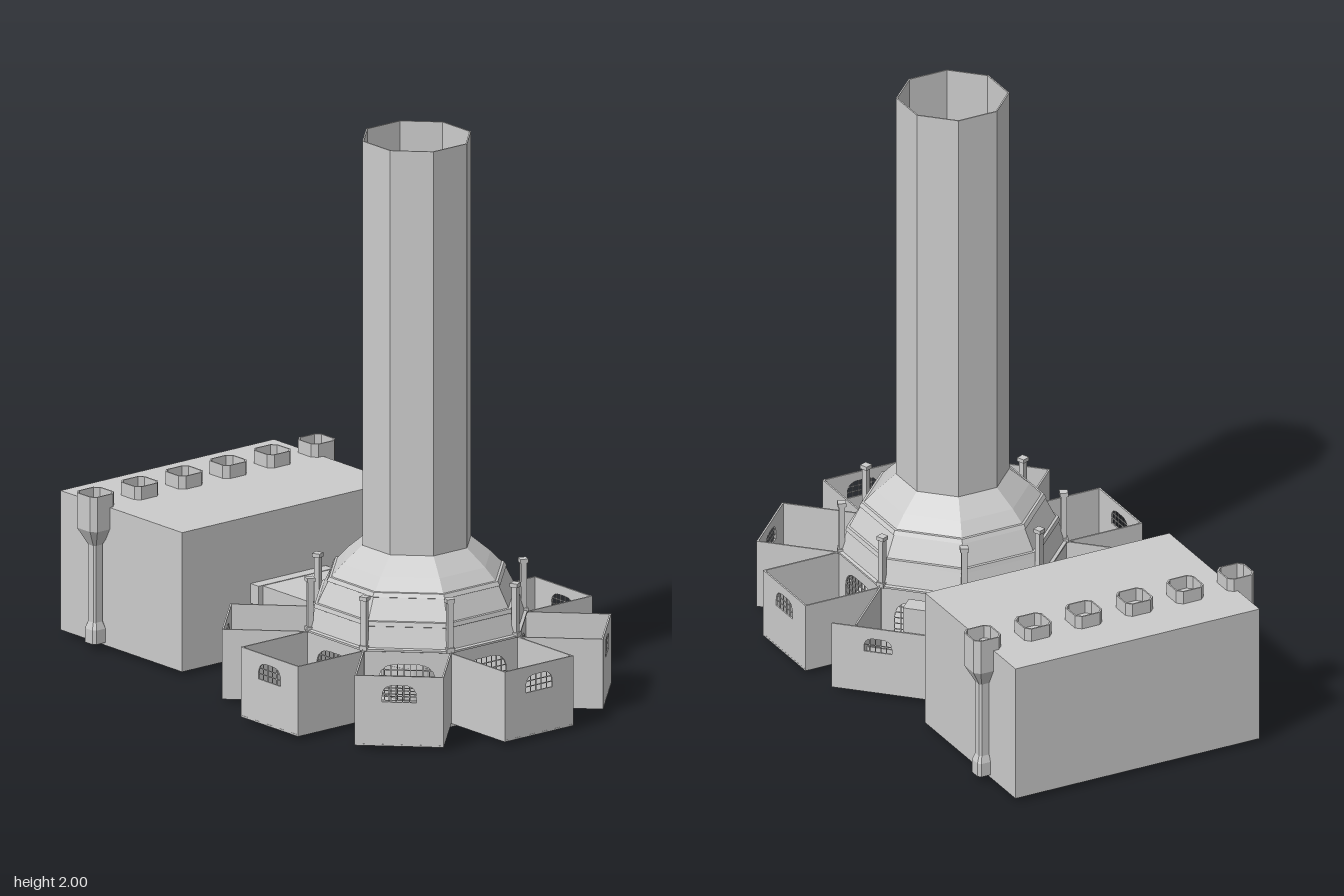
import * as THREE from 'three';

const mat = new THREE.MeshStandardMaterial({ color: 0xcccccc, flatShading: true, side: THREE.DoubleSide });
const T = 0.006; // wall thickness
const CX = 0.34; // tower axis

function add(parent, name, geo, x = 0, y = 0, z = 0, ry = 0) {
  const m = new THREE.Mesh(geo, mat);
  m.name = name;
  m.position.set(x, y, z);
  m.rotation.y = ry;
  parent.add(m);
  return m;
}
const box = (w, h, d) => new THREE.BoxGeometry(w, h, d);

// Octagonal lathe; radii are measured to the middle of the flats
function octagon(points) {
  const k = 1 / Math.cos(Math.PI / 8);
  return new THREE.LatheGeometry(points.map(([r, y]) => new THREE.Vector2(r * k, y)), 8, Math.PI / 8);
}

// Arched opening: flat sill, rounded shoulders
function arch(x, y, w, h) {
  const p = new THREE.Path(), r = Math.min(w / 2, h) * 0.7;
  p.moveTo(x - w / 2, y);
  p.lineTo(x - w / 2, y + h - r);
  p.quadraticCurveTo(x - w / 2, y + h, x - w / 2 + r, y + h);
  p.lineTo(x + w / 2 - r, y + h);
  p.quadraticCurveTo(x + w / 2, y + h, x + w / 2, y + h - r);
  p.lineTo(x + w / 2, y);
  p.closePath();
  return p;
}

// Wall in the xy plane with barred openings [x, y, w, h]
function wall(parent, name, x0, x1, y0, y1, z, openings) {
  const s = new THREE.Shape();
  s.moveTo(x0, y0);
  s.lineTo(x1, y0);
  s.lineTo(x1, y1);
  s.lineTo(x0, y1);
  s.closePath();
  for (const [x, y, w, h] of openings) {
    s.holes.push(arch(x, y, w, h));
    const cols = Math.round(w / 0.022), rows = Math.round(h / 0.022);
    for (let i = 1; i < cols; i++) {
      add(parent, 'windowBar', box(0.003, h, 0.003), x - w / 2 + (w * i) / cols, y + h / 2, z);
    }
    for (let j = 1; j < rows; j++) {
      add(parent, 'windowBar', box(w, 0.003, 0.003), x, y + (h * j) / rows, z);
    }
  }
  const g = new THREE.ExtrudeGeometry(s, { depth: T, bevelEnabled: false, curveSegments: 5 });
  add(parent, name, g, 0, 0, z - T / 2);
}

// Roofless side room, local +z points outward from the tower
function room(kind) {
  const g = new THREE.Group();
  g.name = 'room';
  add(g, 'roomFloor', box(0.305, T, 0.295), 0, 0.018, 0.508);
  for (const s of [-1, 1]) add(g, 'roomSideWall', box(T, 0.25, 0.295), s * 0.15, 0.14, 0.508);
  if (kind === 'shed') {
    wall(g, 'screenWall', -0.235, 0.275, 0.015, 0.26, 0.658, [[-0.07, 0.17, 0.1, 0.05], [0.16, 0.17, 0.1, 0.05]]);
    add(g, 'crate', box(0.127, 0.33, 0.07), 0.08, 0.185, 0.615);
    add(g, 'partition', box(0.3, 0.1, T), 0, 0.07, 0.53);
    add(g, 'pipe', new THREE.CylinderGeometry(0.022, 0.022, 0.1, 10), 0.06, 0.065, 0.47);
  } else {
    wall(g, 'roomOuterWall', -0.152, 0.152, 0.015, 0.265, 0.652, [[0, 0.172, 0.118, 0.06]]);
  }
  return g;
}

// Square hopper with chamfered corners on a slim leg
function hopper() {
  const profile = [[0, 0.025], [0.03, 0.025], [0.03, 0.075], [0.021, 0.1], [0.021, 0.375], [0.053, 0.435],
    [0.053, 0.56], [0.048, 0.56], [0.048, 0.44], [0, 0.4]];
  const g = new THREE.LatheGeometry(profile.map(([r, y]) => new THREE.Vector2(r, y)), 8, Math.PI / 8);
  const p = g.attributes.position;
  for (let i = 0; i < p.count; i++) {
    const x = p.getX(i), z = p.getZ(i), r = Math.hypot(x, z);
    const square = (v) => Math.sign(v) * r * (Math.abs(v) > r * 0.6 ? 1 : 0.66);
    p.setXYZ(i, square(x), p.getY(i), square(z));
  }
  g.computeVertexNormals();
  return g;
}

export function createModel() {
  const model = new THREE.Group();
  model.name = 'towerComplex';

  // Octagonal centre: floor, dome and open chimney
  const core = new THREE.Group();
  core.name = 'centralTower';
  core.position.x = CX;
  model.add(core);
  add(core, 'floorSlab', octagon([[0, 0], [0.362, 0], [0.362, 0.018], [0, 0.018]]));
  add(core, 'dome', octagon([[0.36, 0.262], [0.368, 0.265], [0.368, 0.272], [0.357, 0.275], [0.337, 0.345],
    [0.341, 0.347], [0.337, 0.362], [0.328, 0.363], [0.294, 0.436], [0.298, 0.438], [0.29, 0.452],
    [0.282, 0.453], [0.245, 0.495], [0.18, 0.555]]));
  add(core, 'chimney', octagon([[0.18, 0.555], [0.18, 2], [0.175, 2], [0.175, 0.555]]));
  add(core, 'vessel', new THREE.CylinderGeometry(0.12, 0.12, 0.12, 16), 0, 0.07, 0);
  add(core, 'vesselCap', new THREE.SphereGeometry(0.12, 12, 6, 0, Math.PI * 2, 0, Math.PI / 2), 0, 0.13, 0);

  for (let i = 0; i < 8; i++) {
    const a = (i * Math.PI) / 4;
    const side = new THREE.Group();
    side.name = 'towerSide';
    side.rotation.y = a;
    core.add(side);
    wall(side, 'towerWall', -0.149, 0.149, 0.01, 0.265, 0.36, [[0, 0.09, 0.2, 0.13]]);
    if (i !== 6) side.add(room(i === 5 ? 'shed' : 'plain'));

    // Corner post with cap and foot, beside the dome
    const c = a + Math.PI / 8, px = Math.sin(c) * 0.382, pz = Math.cos(c) * 0.382;
    add(core, 'cornerPost', box(0.02, 0.185, 0.02), px, 0.36, pz, c);
    add(core, 'postCap', box(0.029, 0.014, 0.029), px, 0.45, pz, c);
    add(core, 'postFoot', box(0.03, 0.016, 0.03), px, 0.274, pz, c);
  }

  // Roofed passage from the tower to the hall
  add(model, 'passage', box(0.31, 0.255, 0.3), -0.165, 0.1425, -0.005);
  for (const s of [-1, 1]) {
    add(model, 'doorFramePost', box(0.012, 0.24, 0.02), -0.314, 0.15, s * 0.157 - 0.003);
    add(model, 'doorFramePanel', box(0.03, 0.17, 0.012), -0.335, 0.115, s * 0.154 - 0.003);
  }
  add(model, 'doorFrameLintel', box(0.045, 0.07, 0.335), -0.33, 0.237, -0.003);

  // Hall with a row of hoppers through the roof
  add(model, 'hall', box(0.65, 0.498, 0.95), -0.675, 0.264, -0.005);
  const hopperGeo = hopper();
  for (let i = 0; i < 6; i++) add(model, 'hopper', hopperGeo, -0.79, 0, -0.495 + 0.197 * i);

  return model;
}
